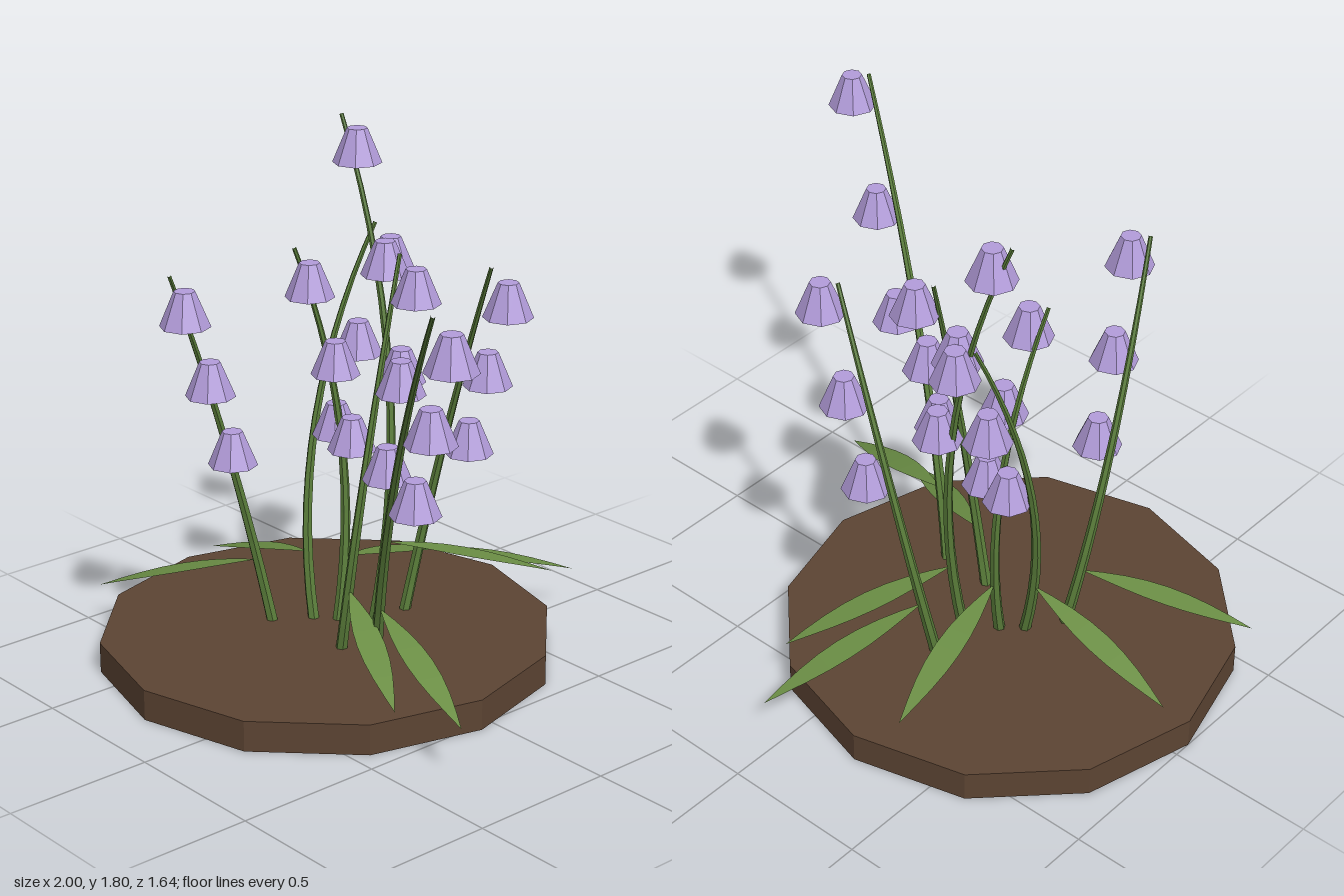
import * as THREE from 'three';

const SOIL_TOP = 0.105;

// Each plant: stem foot (x, z), point halfway up (x, z), stem tip and leaf tip (x, y, z)
const PLANTS = [
  { foot: [-0.15, -0.075], half: [-0.182, -0.173], tip: [-0.42, 1.795, -0.175], leaf: [0.135, 0.225, -0.63] },
  { foot: [-0.245, 0], half: [-0.278, -0.043], tip: [-0.345, 1.41, 0.093], leaf: [-0.345, 0.16, -0.61] },
  { foot: [-0.065, 0.14], half: [0.016, 0.1], tip: [-0.02, 1.43, -0.075], leaf: [0.495, 0.16, 0.4] },
  { foot: [-0.16, -0.225], half: [-0.045, -0.303], tip: [0.23, 1.41, -0.24], leaf: [0.05, 0.15, -0.82] },
  { foot: [0.125, 0.155], half: [0.385, 0.31], tip: [0.835, 1.57, 0.56], leaf: [0.745, 0.18, 0.35] },
  { foot: [-0.39, 0.17], half: [-0.437, 0.315], tip: [-0.345, 1.42, 0.597], leaf: [-0.915, 0.155, 0.505] },
  { foot: [-0.31, 0.055], half: [-0.402, -0.037], tip: [-0.345, 1.43, -0.255], leaf: [-0.93, 0.155, 0.01] },
];

// Quadratic stem through the foot, the halfway point and the tip; height grows evenly
function stemCurve({ foot, half, tip }) {
  const a = new THREE.Vector3(foot[0], SOIL_TOP - 0.005, foot[1]);
  const b = new THREE.Vector3(...tip);
  const control = a.clone().lerp(b, 0.5);
  control.x = 2 * half[0] - control.x;
  control.z = 2 * half[1] - control.z;
  return new THREE.QuadraticBezierCurve3(a, control, b);
}

// Tapered tube: every ring is pulled in around its point on the curve
function stemGeometry(curve) {
  const rings = 14, sides = 6;
  const geo = new THREE.TubeGeometry(curve, rings, 1, sides, false);
  const pos = geo.attributes.position, v = new THREE.Vector3();
  for (let i = 0; i < pos.count; i++) {
    const t = Math.floor(i / (sides + 1)) / rings;
    const c = curve.getPointAt(t);
    v.fromBufferAttribute(pos, i).sub(c).multiplyScalar(0.02 - 0.013 * t).add(c);
    pos.setXYZ(i, v.x, v.y, v.z);
  }
  geo.computeVertexNormals();
  return geo;
}

// Thin blade, pointed at both ends, arching gently from root to tip
function leafGeometry(root, tip) {
  const steps = 8;
  const mid = root.clone().lerp(tip, 0.5);
  mid.y += 0.03;
  const curve = new THREE.QuadraticBezierCurve3(root, mid, tip);
  const side = new THREE.Vector3(tip.z - root.z, 0, root.x - tip.x).normalize();
  const verts = [], index = [];
  for (let i = 0; i <= steps; i++) {
    const t = i / steps, p = curve.getPoint(t);
    const w = 0.046 * Math.sin(Math.PI * t);
    for (const s of [-w, w]) verts.push(p.x + side.x * s, p.y, p.z + side.z * s);
    if (i < steps) {
      const k = i * 2;
      index.push(k, k + 2, k + 1, k + 1, k + 2, k + 3);
    }
  }
  const geo = new THREE.BufferGeometry();
  geo.setAttribute('position', new THREE.Float32BufferAttribute(verts, 3));
  geo.setIndex(index);
  geo.computeVertexNormals();
  return geo;
}

export function createModel() {
  const model = new THREE.Group();
  model.name = 'bellFlowers';
  const material = (name, color, side = THREE.FrontSide) =>
    new THREE.MeshStandardMaterial({ name, color, side, flatShading: true });
  const soilBrown = material('soilBrown', 0x5c4433);
  const stemGreen = material('stemGreen', 0x5a7d3a);
  const leafGreen = material('leafGreen', 0x6b8e45, THREE.DoubleSide);
  const petalLilac = material('petalLilac', 0xb39ddb);

  const add = (parent, name, geo, mat) => {
    const mesh = new THREE.Mesh(geo, mat);
    mesh.name = name;
    parent.add(mesh);
    return mesh;
  };

  // Twelve-sided disc of soil
  add(model, 'soil', new THREE.CylinderGeometry(0.765, 0.765, SOIL_TOP, 12), soilBrown)
    .position.set(-0.235, SOIL_TOP / 2, 0.06);

  // Plants: a stem, a leaf from low on the stem, and three bells beside its upper part
  const bellGeo = new THREE.CylinderGeometry(0.034, 0.082, 0.115, 8);
  const bellOffset = new THREE.Vector3(0.078, -0.09, 0);
  for (const spec of PLANTS) {
    const plant = new THREE.Group();
    plant.name = 'plant';
    model.add(plant);
    const curve = stemCurve(spec);
    add(plant, 'stem', stemGeometry(curve), stemGreen);
    add(plant, 'leaf', leafGeometry(curve.getPoint(0.17), new THREE.Vector3(...spec.leaf)), leafGreen);
    for (const t of [0.585, 0.79, 1]) {
      add(plant, 'bell', bellGeo, petalLilac).position.copy(curve.getPoint(t)).add(bellOffset);
    }
  }
  return model;
}
